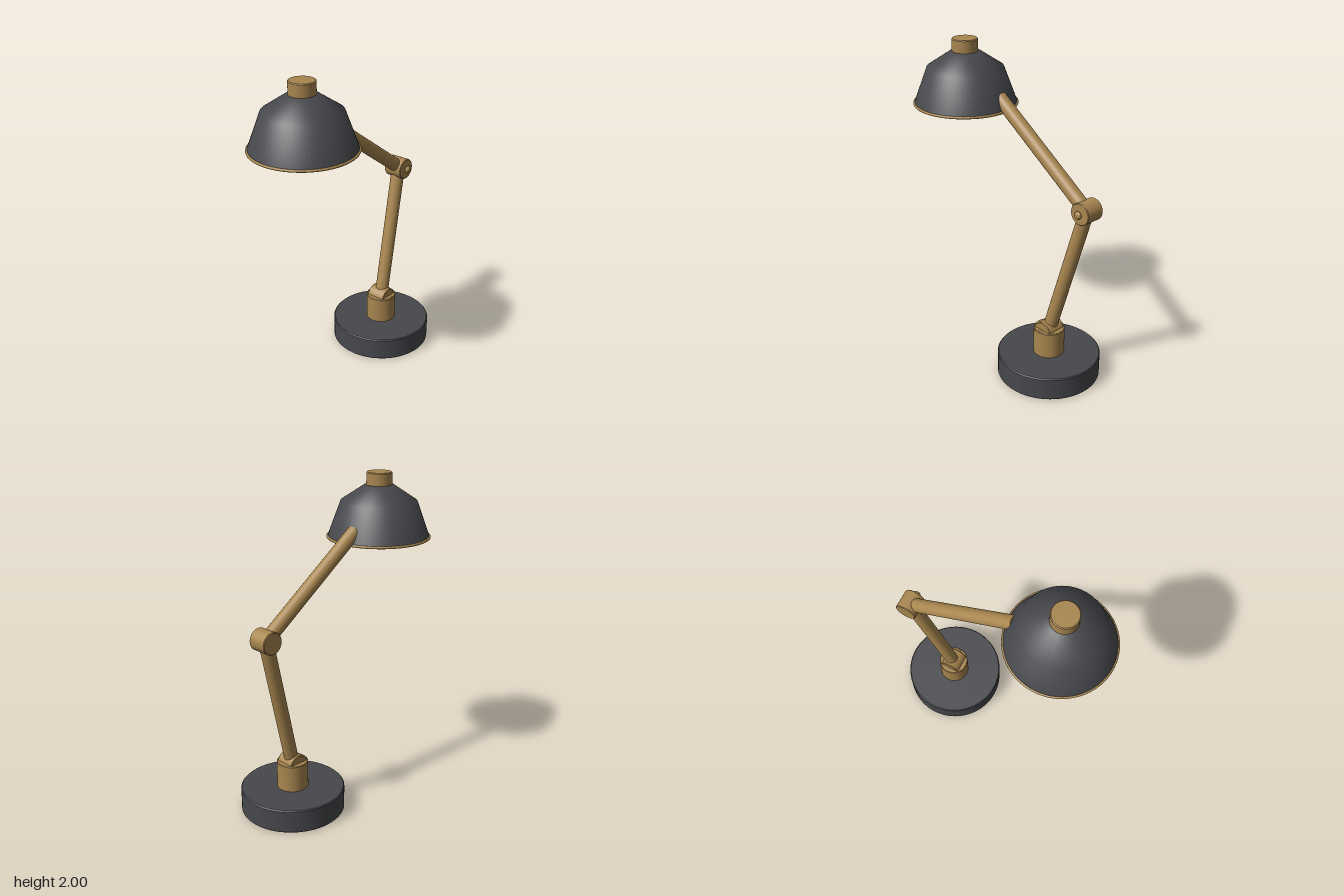
import * as THREE from 'three';
import { toCreasedNormals } from 'three/addons/utils/BufferGeometryUtils.js';

const V = (x, y, z) => new THREE.Vector3(x, y, z);
const dark = new THREE.MeshStandardMaterial({ color: 0x46484c });
const brass = new THREE.MeshStandardMaterial({ color: 0xa8864f });
const glow = new THREE.MeshStandardMaterial({ color: 0xf0d28c });

function add(parent, name, geometry, material, position) {
  const mesh = new THREE.Mesh(geometry, material);
  mesh.name = name;
  if (position) mesh.position.copy(position);
  parent.add(mesh);
  return mesh;
}

// Turned part: profile points are [radius, height], outer side running upward
function turned(points, crease = 0.6) {
  const profile = points.map(([r, y]) => new THREE.Vector2(r, y));
  return toCreasedNormals(new THREE.LatheGeometry(profile, 64), crease);
}

// Solid disc or post with a slightly eased edge
function easedCylinder(r, y0, y1, b) {
  return turned([[0, y0], [r - b, y0], [r, y0 + b], [r, y1 - b], [r - b, y1], [0, y1]]);
}

// Straight tube between two points
function rod(parent, name, a, b, r) {
  const dir = b.clone().sub(a);
  const geometry = new THREE.CylinderGeometry(r, r, dir.length(), 32);
  const mesh = add(parent, name, geometry, brass, a.clone().add(b).multiplyScalar(0.5));
  mesh.quaternion.setFromUnitVectors(V(0, 1, 0), dir.normalize());
}

// Hinge barrel lying along z with a small rounded screw on its front
function hinge(parent, name, position) {
  const group = new THREE.Group();
  group.name = name;
  group.position.copy(position);
  const barrel = easedCylinder(0.067, -0.063, 0.063, 0.004);
  add(group, 'hingeBarrel', barrel.rotateX(Math.PI / 2), brass);
  const screw = new THREE.SphereGeometry(0.024, 24, 16).scale(1, 1, 0.62);
  add(group, 'hingeScrew', screw, brass, V(0, 0, 0.077));
  parent.add(group);
}

export function createModel() {
  const lamp = new THREE.Group();
  lamp.name = 'deskLamp';

  // Stand
  const foot = V(0.37, 0, 0);
  add(lamp, 'base', easedCylinder(0.32, 0, 0.148, 0.006), dark, foot);
  add(lamp, 'post', easedCylinder(0.096, 0.14, 0.318, 0.004), brass, foot);

  // Jointed arm
  const lowerJoint = V(0.37, 0.3, 0);
  const elbow = V(0.593, 1.166, -0.049);
  hinge(lamp, 'lowerHinge', lowerJoint);
  hinge(lamp, 'elbowHinge', elbow);
  rod(lamp, 'lowerArm', lowerJoint, elbow, 0.043);
  rod(lamp, 'upperArm', elbow, V(-0.115, 1.678, -0.043), 0.043);

  // Head: hollow shade, rim, cap, socket and bulb
  const head = new THREE.Group();
  head.name = 'lampHead';
  head.position.set(-0.37, 0, 0);
  lamp.add(head);

  const shade = turned([
    [0.316, 1.605], [0.235, 1.825], [0.09, 1.922], [0, 1.928],
    [0, 1.908], [0.084, 1.902], [0.222, 1.812], [0.298, 1.605], [0.316, 1.605],
  ], 1.0);
  add(head, 'shade', shade, dark);

  const rim = new THREE.TorusGeometry(0.315, 0.008, 12, 64).rotateX(Math.PI / 2);
  add(head, 'shadeRim', rim, brass, V(0, 1.605, 0));
  add(head, 'shadeCap', easedCylinder(0.079, 1.91, 2.0, 0.005), brass);
  add(head, 'bulbSocket', easedCylinder(0.05, 1.76, 1.915, 0.003), brass);
  add(head, 'bulb', new THREE.SphereGeometry(0.117, 40, 28), glow, V(0, 1.672, 0));

  return lamp;
}
